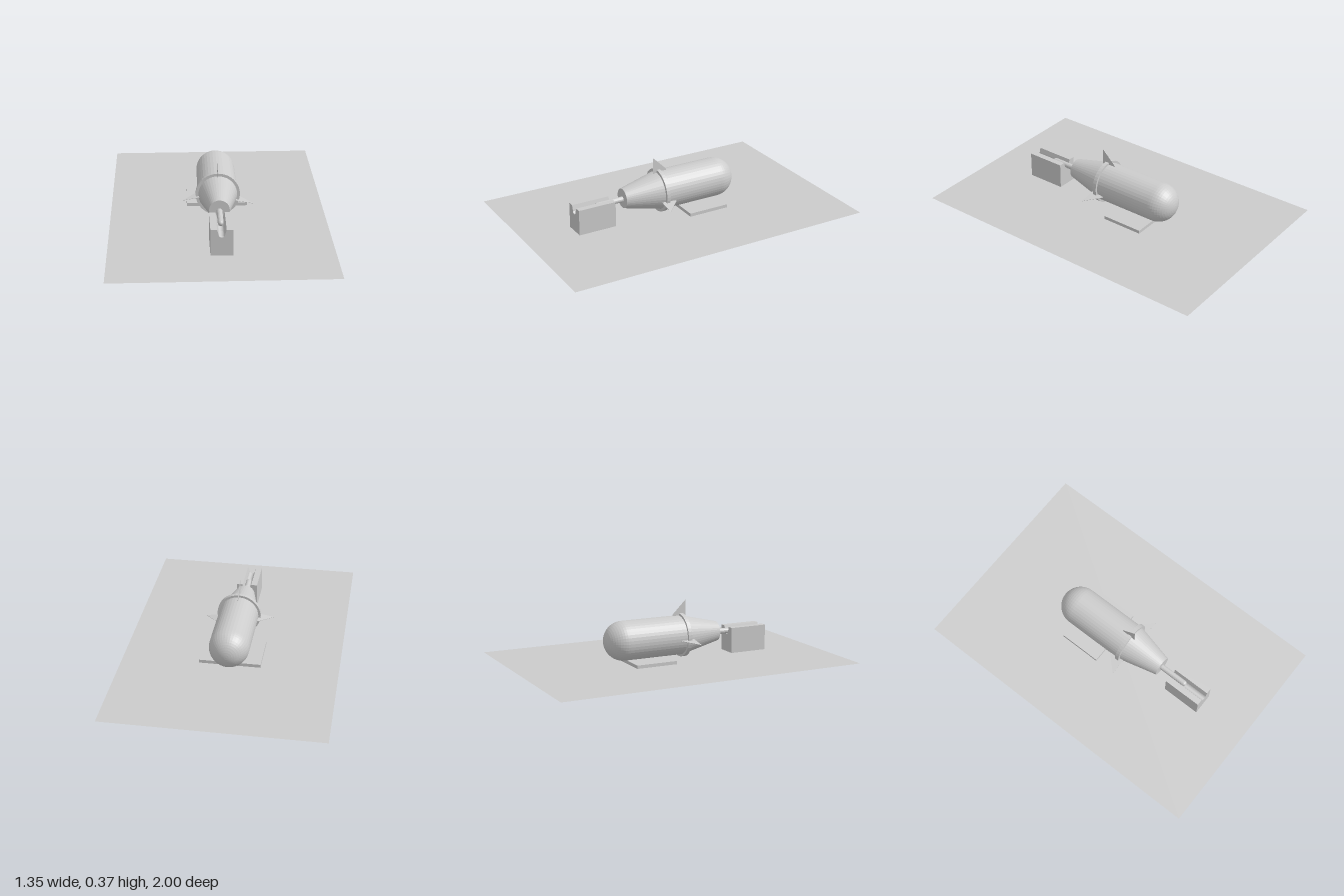
import * as THREE from 'three';

const AXIS_Y = 0.143;

export function createModel() {
  const model = new THREE.Group();
  const smooth = new THREE.MeshStandardMaterial({ color: 0xcccccc });
  const faceted = new THREE.MeshStandardMaterial({ color: 0xcccccc, flatShading: true });
  const thin = new THREE.MeshStandardMaterial({ color: 0xcccccc, side: THREE.DoubleSide });

  const add = (name, geometry, material, x = 0, y = 0, z = 0) => {
    const mesh = new THREE.Mesh(geometry, material);
    mesh.name = name;
    mesh.position.set(x, y, z);
    model.add(mesh);
    return mesh;
  };

  // Revolves [radius, z] pairs, listed from the back to the front, about the long axis
  const turned = (name, profile, segments, y) => {
    const points = profile.map(([r, z]) => new THREE.Vector2(r, z));
    const geometry = new THREE.LatheGeometry(points, segments).rotateX(Math.PI / 2);
    return add(name, geometry, faceted, 0, y);
  };

  // Ground sheet
  add('ground', new THREE.PlaneGeometry(1.35, 2).rotateX(-Math.PI / 2), thin);

  // Body: round nose, straight barrel, tapered tail with a flat end
  const body = [];
  for (let i = 0; i <= 12; i++) {
    const a = (i / 12) * Math.PI / 2;
    body.push([0.125 * Math.sin(a), -0.315 - 0.125 * Math.cos(a)]);
  }
  body.push([0.125, 0.085], [0.063, 0.343], [0, 0.343]);
  turned('body', body, 40, AXIS_Y);

  // Raised collar where the tail begins
  turned('collar', [[0.12, 0.075], [0.139, 0.075], [0.139, 0.1], [0.115, 0.1]], 40, AXIS_Y);

  // Tail rod with a rounded tip
  const rod = [[0.018, 0.33]];
  for (let i = 0; i <= 5; i++) {
    const a = (i / 5) * Math.PI / 2;
    rod.push([0.018 * Math.cos(a), 0.517 + 0.018 * Math.sin(a)]);
  }
  turned('tailRod', rod, 16, 0.137);

  // Three thin triangular fins
  const finShape = new THREE.Shape([
    new THREE.Vector2(0.03, 0.125),
    new THREE.Vector2(0.123, 0.115),
    new THREE.Vector2(0.123, 0.224),
    new THREE.Vector2(0.03, 0.133),
  ]);
  const finGeometry = new THREE.ExtrudeGeometry(finShape, { depth: 0.002, bevelEnabled: false })
    .translate(0, 0, -0.001)
    .rotateY(-Math.PI / 2);
  const fins = [
    ['topFin', 0, AXIS_Y],
    ['leftFin', -1.755, 0.128],
    ['rightFin', 1.745, 0.153],
  ];
  for (const [name, angle, y] of fins) {
    add(name, finGeometry, thin, 0, y).rotation.z = angle;
  }

  // Flat board under the barrel
  add('baseBoard', new THREE.BoxGeometry(0.386, 0.021, 0.272), smooth, 0, 0.0145, -0.172);

  // Rest block with a round-bottomed groove for the rod
  const block = new THREE.Shape();
  block.moveTo(-0.067, 0);
  block.lineTo(0.067, 0);
  block.lineTo(0.067, 0.165);
  block.lineTo(0.028, 0.165);
  block.lineTo(0.019, 0.135);
  block.absarc(0, 0.135, 0.019, 0, -Math.PI, true);
  block.lineTo(-0.028, 0.165);
  block.lineTo(-0.067, 0.165);
  block.closePath();
  add('restBlock', new THREE.ExtrudeGeometry(block, {
    depth: 0.25, bevelEnabled: false, curveSegments: 10,
  }), smooth, 0, 0, 0.425);

  return model;
}
